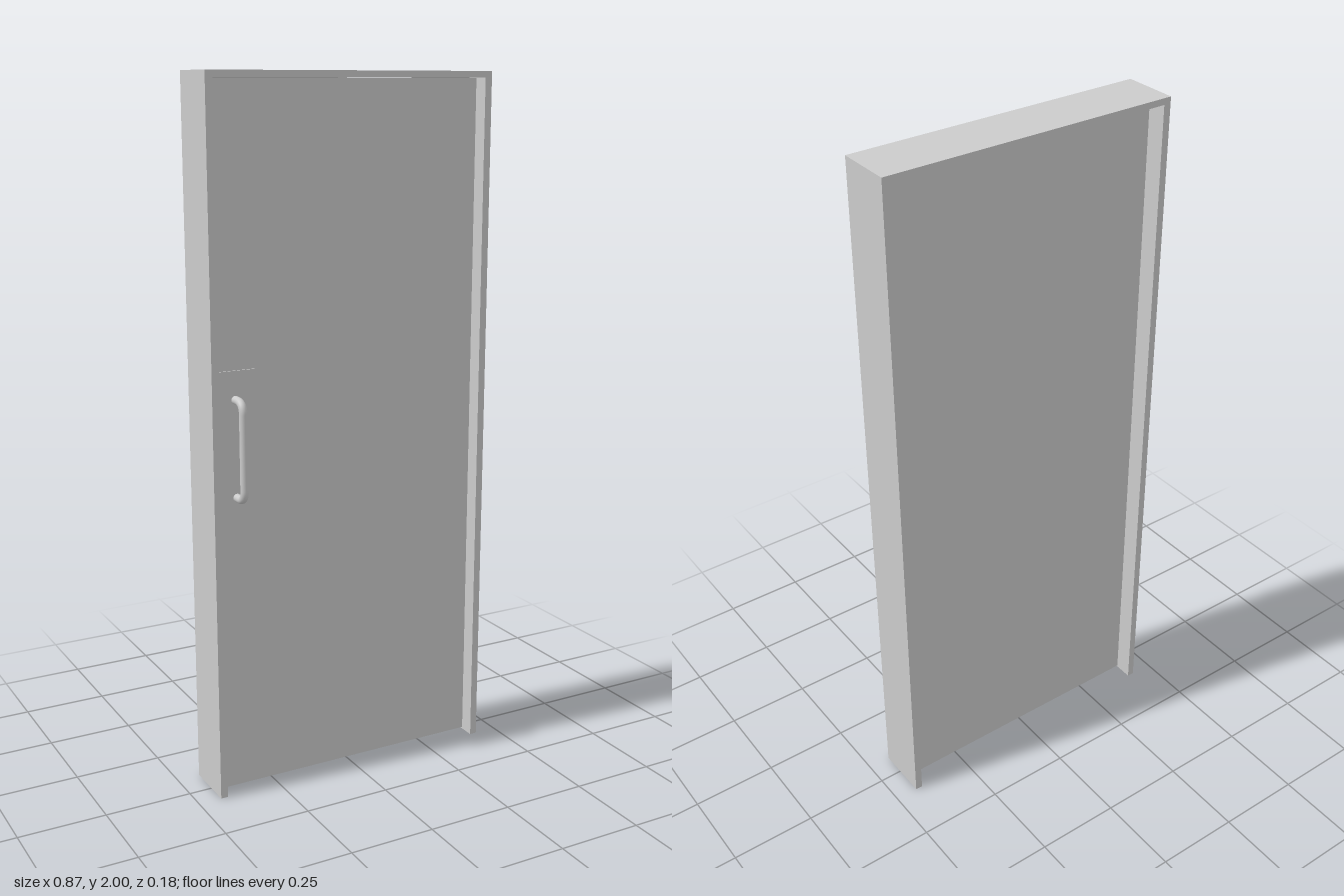
import * as THREE from 'three';

export function createModel() {
  const group = new THREE.Group();
  group.name = 'door';
  const material = new THREE.MeshStandardMaterial({ color: 0xcccccc });

  const add = (name, geometry) => {
    const mesh = new THREE.Mesh(geometry, material);
    mesh.name = name;
    group.add(mesh);
  };
  // Box given by its min and max along each axis
  const addBox = (name, [x0, x1], [y0, y1], [z0, z1]) => add(name,
    new THREE.BoxGeometry(x1 - x0, y1 - y0, z1 - z0)
      .translate((x0 + x1) / 2, (y0 + y1) / 2, (z0 + z1) / 2));

  const halfWidth = 0.433, opening = 0.412, headBottom = 1.982;
  const zBack = -0.091, zFront = 0.069;
  const panelBack = -0.036, panelFront = 0.025, plateFront = 0.029;

  // Frame: one U-shaped extrusion, open at the floor
  const u = [
    [-halfWidth, 0], [-opening, 0], [-opening, headBottom], [opening, headBottom],
    [opening, 0], [halfWidth, 0], [halfWidth, 2], [-halfWidth, 2],
  ];
  const frameShape = new THREE.Shape(u.map(([x, y]) => new THREE.Vector2(x, y)));
  add('frame', new THREE.ExtrudeGeometry(frameShape, { depth: zFront - zBack, bevelEnabled: false })
    .translate(0, 0, zBack));

  // Door leaf, just clear of the floor
  addBox('doorLeaf', [-0.411, 0.411], [0.006, headBottom - 0.001], [panelBack, panelFront]);

  // Thin plate behind the handle
  addBox('handlePlate', [-0.41, -0.285], [0.79, 1.22], [panelFront - 0.002, plateFront]);

  // Pull handle: a bar with two rounded bends into the plate
  const hx = -0.348, radius = 0.0115, zBar = 0.0785, bend = 0.032;
  const yLow = 0.866, yHigh = 1.14, zFoot = plateFront - 0.003;
  const p = (y, z) => new THREE.Vector3(hx, y, z);
  const path = new THREE.CurvePath();
  path.add(new THREE.LineCurve3(p(yLow, zFoot), p(yLow, zBar - bend)));
  path.add(new THREE.QuadraticBezierCurve3(p(yLow, zBar - bend), p(yLow, zBar), p(yLow + bend, zBar)));
  path.add(new THREE.LineCurve3(p(yLow + bend, zBar), p(yHigh - bend, zBar)));
  path.add(new THREE.QuadraticBezierCurve3(p(yHigh - bend, zBar), p(yHigh, zBar), p(yHigh, zBar - bend)));
  path.add(new THREE.LineCurve3(p(yHigh, zBar - bend), p(yHigh, zFoot)));
  add('handle', new THREE.TubeGeometry(path, 80, radius, 16, false));

  return group;
}
